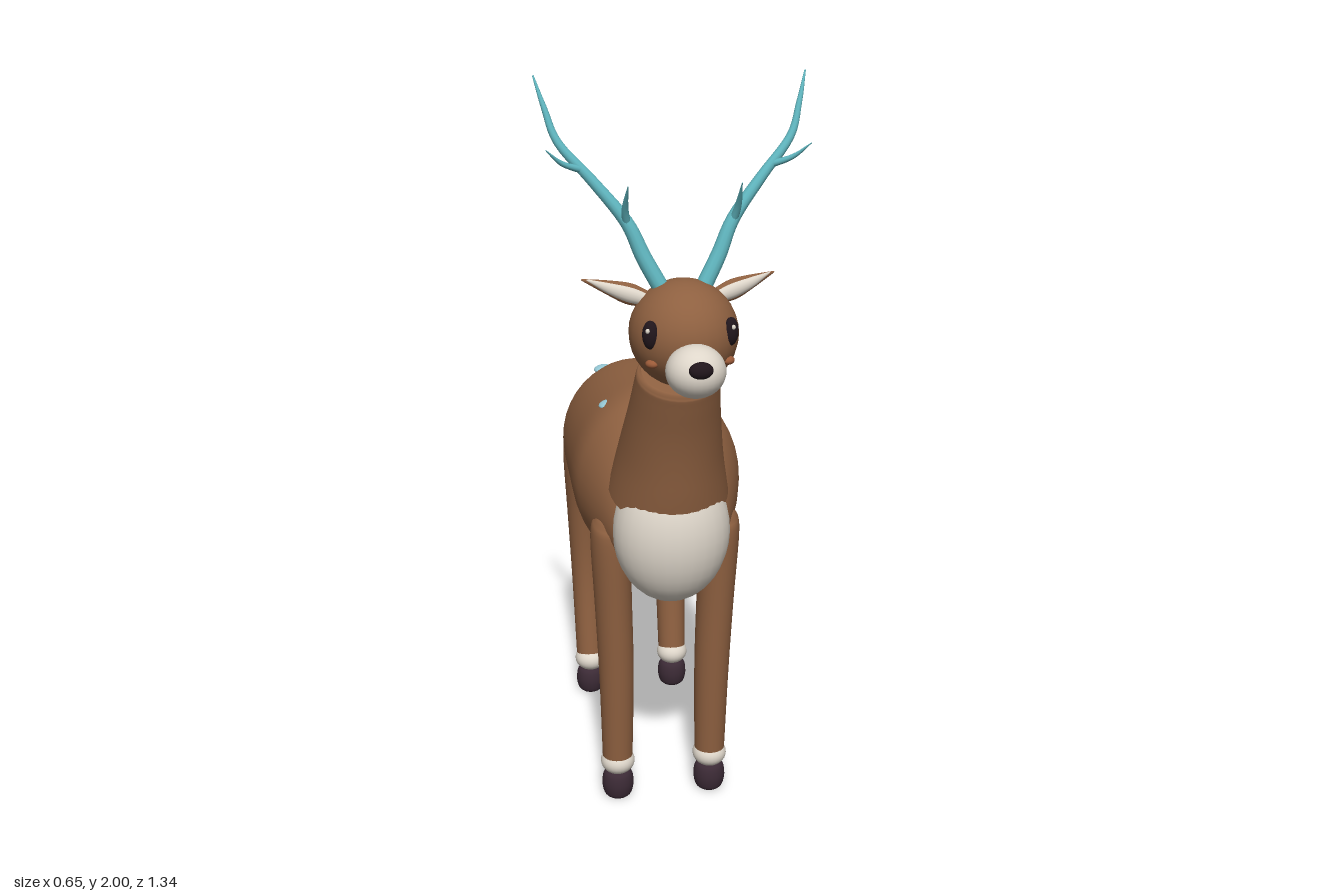
import * as THREE from 'three';

const mat = (name, color) => {
  const m = new THREE.MeshStandardMaterial({ color });
  m.name = name;
  return m;
};

// Smooth skin through rows [x, y, z, radiusU, radiusV]; U follows ref, V is square to U and the path.
function loft(rows, { ref = [1, 0, 0], dir = null, sides = 28, steps = 5 } = {}) {
  const path = new THREE.CatmullRomCurve3(rows.map(r => new THREE.Vector3(r[0], r[1], r[2])), false, 'catmullrom', 0.5);
  const size = new THREE.CatmullRomCurve3(rows.map(r => new THREE.Vector3(r[3], r[4], 0)), false, 'catmullrom', 0.5);
  const n = (rows.length - 1) * steps;
  const pos = [], idx = [];
  const ring = t => {
    const c = path.getPoint(t), s = size.getPoint(t);
    const T = dir ? new THREE.Vector3(...dir) : path.getTangent(t);
    const U = new THREE.Vector3(...ref);
    U.addScaledVector(T, -U.dot(T)).normalize();
    const V = new THREE.Vector3().crossVectors(T, U);
    for (let j = 0; j < sides; j++) {
      const a = j / sides * Math.PI * 2;
      const p = c.clone().addScaledVector(U, Math.cos(a) * s.x).addScaledVector(V, Math.sin(a) * s.y);
      pos.push(p.x, p.y, p.z);
    }
    return c;
  };
  for (let i = 0; i <= n; i++) ring(i / n);
  for (let i = 0; i < n; i++) {
    for (let j = 0; j < sides; j++) {
      const a = i * sides + j, b = i * sides + (j + 1) % sides;
      idx.push(a, b, a + sides, b, b + sides, a + sides);
    }
  }
  // flat end caps
  for (const end of [0, 1]) {
    const start = pos.length / 3;
    const c = ring(end), centre = start + sides;
    pos.push(c.x, c.y, c.z);
    for (let j = 0; j < sides; j++) {
      const a = start + j, b = start + (j + 1) % sides;
      if (end) idx.push(centre, a, b);
      else idx.push(centre, b, a);
    }
  }
  const g = new THREE.BufferGeometry();
  g.setAttribute('position', new THREE.Float32BufferAttribute(pos, 3));
  g.setIndex(idx);
  g.computeVertexNormals();
  return g;
}

export function createModel() {
  const model = new THREE.Group();
  model.name = 'deer';
  const fur = mat('brown fur', 0x8e6040);
  const cream = mat('cream fur', 0xded6ca);
  const dark = mat('dark hoof', 0x3b2a35);
  const black = mat('eye black', 0x21161c);
  const teal = mat('teal antler', 0x5fb4bd);
  const pale = mat('pale blue spot', 0x98cbd8);
  const blush = mat('russet cheek', 0x9a5a38);

  const add = (name, geometry, material) => {
    const m = new THREE.Mesh(geometry, material);
    m.name = name;
    model.add(m);
    return m;
  };
  const ball = (name, material, [x, y, z], [rx, ry, rz], rot = [0, 0, 0]) => {
    const m = add(name, new THREE.SphereGeometry(1, 28, 18), material);
    m.position.set(x, y, z);
    m.scale.set(rx, ry, rz);
    m.rotation.set(...rot);
  };

  // Body sections: z, top, bottom, half width
  const body = [
    [-0.53, 0.96, 0.76, 0.11], [-0.522, 1.0, 0.73, 0.14], [-0.49, 1.03, 0.7, 0.168],
    [-0.44, 1.065, 0.678, 0.19], [-0.38, 1.1, 0.66, 0.205], [-0.3, 1.13, 0.65, 0.213],
    [-0.1, 1.152, 0.645, 0.221], [0.04, 1.16, 0.65, 0.225], [0.12, 1.14, 0.655, 0.211],
    [0.2, 1.09, 0.67, 0.183], [0.26, 1.02, 0.7, 0.15], [0.3, 0.94, 0.76, 0.1],
  ];
  add('body', loft(body.map(([z, t, b, w]) => [0, (t + b) / 2, z, w, (t - b) / 2]),
    { dir: [0, 0, 1], sides: 40 }), fur);

  // Neck and chest
  add('neck', loft([
    [0, 0.95, 0.23, 0.155, 0.165], [0, 1.06, 0.265, 0.134, 0.15], [0, 1.18, 0.315, 0.116, 0.122],
    [0, 1.27, 0.352, 0.105, 0.109], [0, 1.295, 0.361, 0.101, 0.105], [0, 1.305, 0.364, 0.09, 0.094],
  ], { sides: 36 }), fur);
  ball('chest', cream, [0, 0.85, 0.28], [0.152, 0.195, 0.13]);

  // Head and face
  ball('head', fur, [0, 1.423, 0.431], [0.13, 0.128, 0.142]);
  ball('muzzle', cream, [0, 1.376, 0.585], [0.07, 0.062, 0.07]);
  ball('nose', black, [0, 1.397, 0.648], [0.028, 0.02, 0.017]);

  // Tail tuft
  add('tail', loft([
    [0, 0.935, -0.538, 0.018, 0.014], [0, 0.937, -0.565, 0.036, 0.036], [0, 0.943, -0.61, 0.053, 0.05],
    [0, 0.95, -0.645, 0.051, 0.05], [0, 0.953, -0.664, 0.038, 0.038], [0, 0.954, -0.669, 0.02, 0.02],
  ], { sides: 18 }), cream);

  for (const s of [1, -1]) {
    const side = s > 0 ? 'left' : 'right';
    ball(side + 'Eye', black, [s * 0.094, 1.447, 0.521], [0.02, 0.034, 0.017], [0, s * 0.75, 0]);
    ball(side + 'EyeGlint', cream, [s * 0.1 - 0.003, 1.461, 0.536], [0.005, 0.006, 0.005]);
    ball(side + 'Cheek', blush, [s * 0.091, 1.377, 0.52], [0.016, 0.01, 0.012], [0, s * 0.75, 0]);

    // Ear with a pale inner face
    const ear = (shift, k) => loft([
      [s * 0.085, 1.5, 0.402 + shift, 0.02 * k, 0.012], [s * 0.125, 1.513, 0.396 + shift, 0.026 * k, 0.014],
      [s * 0.17, 1.526, 0.383 + shift, 0.018 * k, 0.01], [s * (0.232 - shift * 2), 1.542, 0.36 + shift, 0.002, 0.002],
    ], { ref: [0, 1, 0], sides: 16 });
    add(side + 'Ear', ear(0, 1), fur);
    add(side + 'InnerEar', ear(0.006, 0.74), cream);

    // Antler beam and tines
    const branch = (name, rows) =>
      add(side + name, loft(rows.map(([x, y, z, r]) => [s * x, y, z, r, r]), { sides: 12 }), teal);
    branch('Antler', [
      [0.052, 1.53, 0.412, 0.02], [0.09, 1.6, 0.395, 0.019], [0.127, 1.68, 0.377, 0.016], [0.2, 1.77, 0.345, 0.013],
      [0.275, 1.855, 0.31, 0.01], [0.302, 1.93, 0.28, 0.007], [0.323, 2.0, 0.246, 0.002],
    ]);
    branch('LowerTine', [[0.125, 1.67, 0.378, 0.01], [0.133, 1.715, 0.4, 0.008], [0.132, 1.775, 0.442, 0.001]]);
    branch('UpperTine', [[0.222, 1.795, 0.335, 0.009], [0.272, 1.815, 0.352, 0.006], [0.31, 1.85, 0.376, 0.001]]);

    // Legs: x, y, z, radius across, radius front to back
    const legs = {
      FrontLeg: { foot: 0.174, rows: [
        [0.148, 0.868, 0.192, 0.016, 0.018], [0.148, 0.852, 0.192, 0.04, 0.044], [0.147, 0.8, 0.186, 0.052, 0.062],
        [0.139, 0.6, 0.18, 0.05, 0.058], [0.132, 0.38, 0.178, 0.047, 0.05], [0.13, 0.1, 0.172, 0.041, 0.041]] },
      HindLeg: { foot: -0.427, rows: [
        [0.148, 0.874, -0.44, 0.016, 0.02], [0.148, 0.858, -0.441, 0.04, 0.046], [0.147, 0.8, -0.445, 0.053, 0.067],
        [0.139, 0.6, -0.466, 0.05, 0.056], [0.132, 0.38, -0.471, 0.046, 0.05], [0.13, 0.1, -0.43, 0.041, 0.041]] },
    };
    for (const [name, { foot, rows }] of Object.entries(legs)) {
      add(side + name, loft(rows.map(([x, ...r]) => [s * x, ...r])), fur);
      ball(side + name + 'Cuff', cream, [s * 0.13, 0.113, foot], [0.047, 0.038, 0.047]);
      add(side + name + 'Hoof', loft([
        [s * 0.13, 0.004, foot, 0.03, 0.03], [s * 0.13, 0.015, foot, 0.039, 0.039], [s * 0.13, 0.045, foot, 0.044, 0.044],
        [s * 0.13, 0.075, foot, 0.038, 0.038], [s * 0.13, 0.088, foot, 0.02, 0.02]], { sides: 20 }), dark);
    }
  }

  // Spots on the back: x, y, z, pitch
  [[-0.05, 1.0, -0.512, -0.6], [0.08, 1.055, -0.44, -0.15], [-0.092, 1.09, -0.35, 0],
    [0.115, 1.113, -0.183, 0], [-0.126, 1.106, 0.007, 0], [0.134, 1.1, 0.12, 0]].forEach(([x, y, z, pitch], i) =>
    ball('spot' + (i + 1), pale, [x, y, z], [0.024, 0.009, 0.026], [pitch, 0, -x * 2]));

  return model;
}
